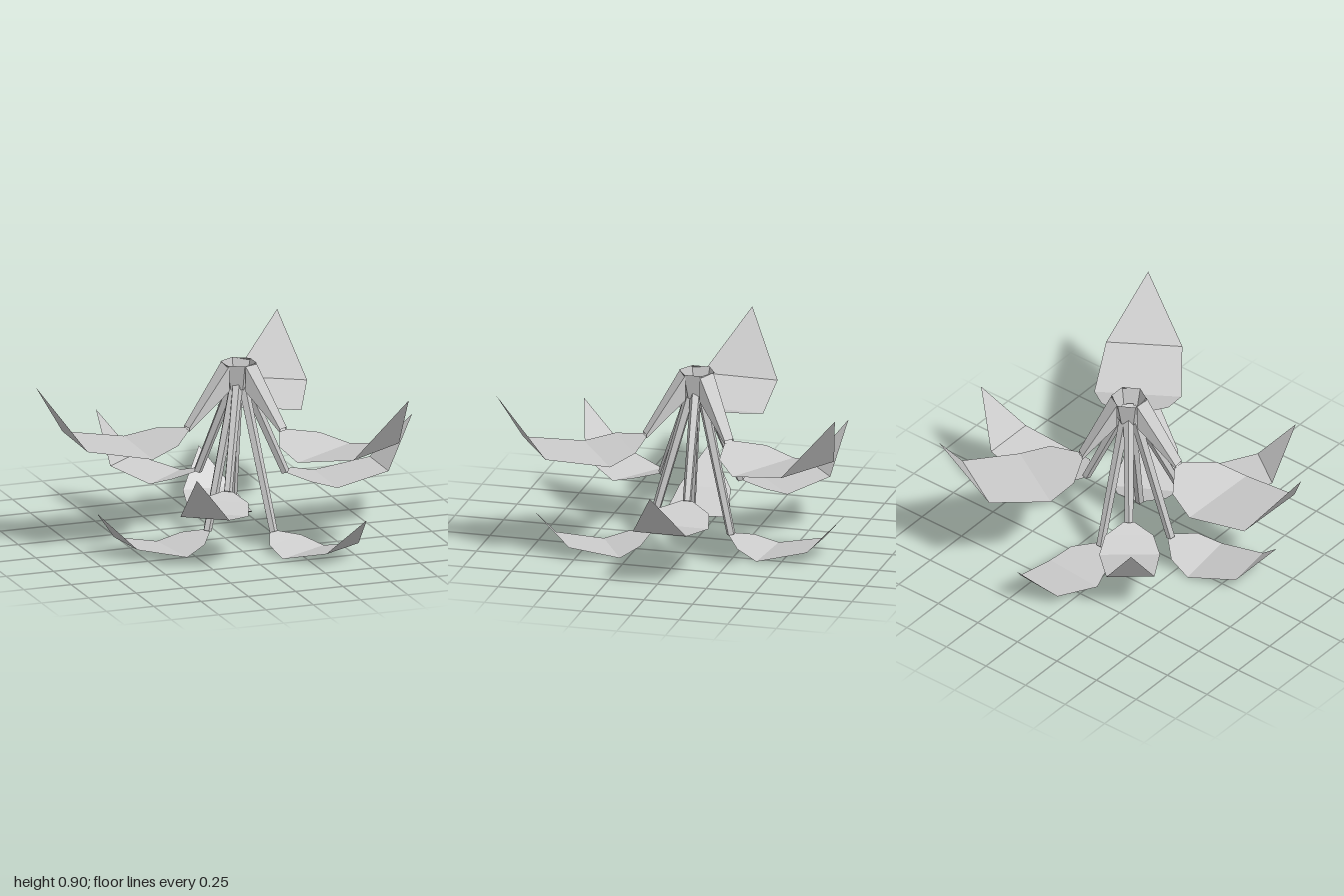
import * as THREE from 'three';

const material = new THREE.MeshStandardMaterial({ color: 0xcccccc, flatShading: true, side: THREE.DoubleSide });
const HUB = new THREE.Vector3(0.077, 0, -0.015);

// Each leaf has the ground position of its start and its tip.
// heights: start, lowest row, outer corners, tip. widths: half-widths per unit of length.
const tiers = [
  { name: 'upper', heights: [0.59, 0.517, 0.58, 0.88], widths: [0.04, 0.215, 0.28, 0.245, 0],
    leaves: [[-0.21, 0.02, -1, 0], [0.23, 0.21, 0.65, 0.86], [0.22, -0.22, 0.6, -0.87]] },
  { name: 'middle', heights: [0.3, 0.24, 0.29, 0.53], widths: [0.045, 0.205, 0.258, 0.205, 0],
    leaves: [[0.33, -0.035, 1, -0.03], [-0.07, -0.2, -0.44, -0.65], [-0.06, 0.2, -0.41, 0.7]] },
  { name: 'lower', heights: [0.07, 0, 0.065, 0.24], widths: [0.045, 0.205, 0.265, 0.21, 0],
    leaves: [[-0.12, 0.07, -0.73, 0.145], [0.11, -0.2, 0.16, -0.8], [0.18, 0.2, 0.48, 0.72]] },
];

// Joins equal-sized rows of points into one surface.
function loft(name, rows, closed) {
  const n = rows[0].length;
  const index = [];
  for (let i = 0; i < rows.length - 1; i++) {
    for (let j = 0; j < (closed ? n : n - 1); j++) {
      const a = i * n + j, b = i * n + (j + 1) % n;
      index.push(a, a + n, b, b, a + n, b + n);
    }
  }
  const geometry = new THREE.BufferGeometry().setFromPoints(rows.flat());
  geometry.setIndex(index);
  const flat = geometry.toNonIndexed();
  flat.computeVertexNormals();
  const mesh = new THREE.Mesh(flat, material);
  mesh.name = name;
  return mesh;
}

function makeLeaf(name, start, tip, [y0, y1, y2, y3], widths) {
  const along = tip.clone().sub(start).setY(0);
  const length = along.length();
  const side = new THREE.Vector3(along.z, 0, -along.x).normalize();
  const stations = [0, 0.13, 0.32, 0.74, 1];
  const heights = [y0, THREE.MathUtils.lerp(y0, y1, 0.42), y1, y2, y3];
  const rows = stations.map((t, i) => [-1, 0, 1].map((s) =>
    start.clone().addScaledVector(along, t).setY(heights[i]).addScaledVector(side, s * widths[i] * length)));
  return loft(name, rows, false);
}

// Broad tapering arm, deep at the hub and thin at the leaf
function makeArm(name, end) {
  const dir = end.clone().sub(HUB).setY(0).normalize();
  const side = new THREE.Vector3(dir.z, 0, -dir.x);
  const section = (r, top, bottom, half) => [[-1, top], [1, top], [1, bottom], [-1, bottom]].map(([s, y]) =>
    HUB.clone().addScaledVector(dir, r).setY(y).addScaledVector(side, s * half));
  const reach = Math.hypot(end.x - HUB.x, end.z - HUB.z);
  return loft(name, [section(0.075, 0.895, 0.765, 0.045), section(reach, end.y + 0.01, end.y - 0.008, 0.028)], true);
}

// Slender stalk hanging from inside the hub
function makeStalk(name, end) {
  const dir = end.clone().sub(HUB).setY(0).normalize();
  const top = HUB.clone().addScaledVector(dir, 0.02).setY(0.82);
  const stalk = new THREE.Mesh(new THREE.CylinderGeometry(0.028, 0.022, top.distanceTo(end), 5), material);
  stalk.position.copy(top).add(end).multiplyScalar(0.5);
  stalk.quaternion.setFromUnitVectors(new THREE.Vector3(0, 1, 0), top.sub(end).normalize());
  stalk.name = name;
  return stalk;
}

export function createModel() {
  const model = new THREE.Group();
  model.name = 'plant';

  // Open six-sided hub
  const hub = new THREE.Mesh(new THREE.CylinderGeometry(0.09, 0.06, 0.13, 6, 1, true), material);
  hub.position.set(HUB.x, 0.832, HUB.z);
  hub.name = 'hub';
  model.add(hub);

  // Three tiers of leaves with their supports
  for (const { name, heights, widths, leaves } of tiers) {
    const tier = new THREE.Group();
    tier.name = name + 'Tier';
    leaves.forEach(([x0, z0, x1, z1], i) => {
      const start = new THREE.Vector3(x0, heights[0], z0);
      const tip = new THREE.Vector3(x1, heights[3], z1);
      tier.add(makeLeaf(`${name}Leaf${i + 1}`, start, tip, heights, widths));
      const support = name === 'upper' ? makeArm : makeStalk;
      tier.add(support(`${name}Stem${i + 1}`, start));
    });
    model.add(tier);
  }
  return model;
}
